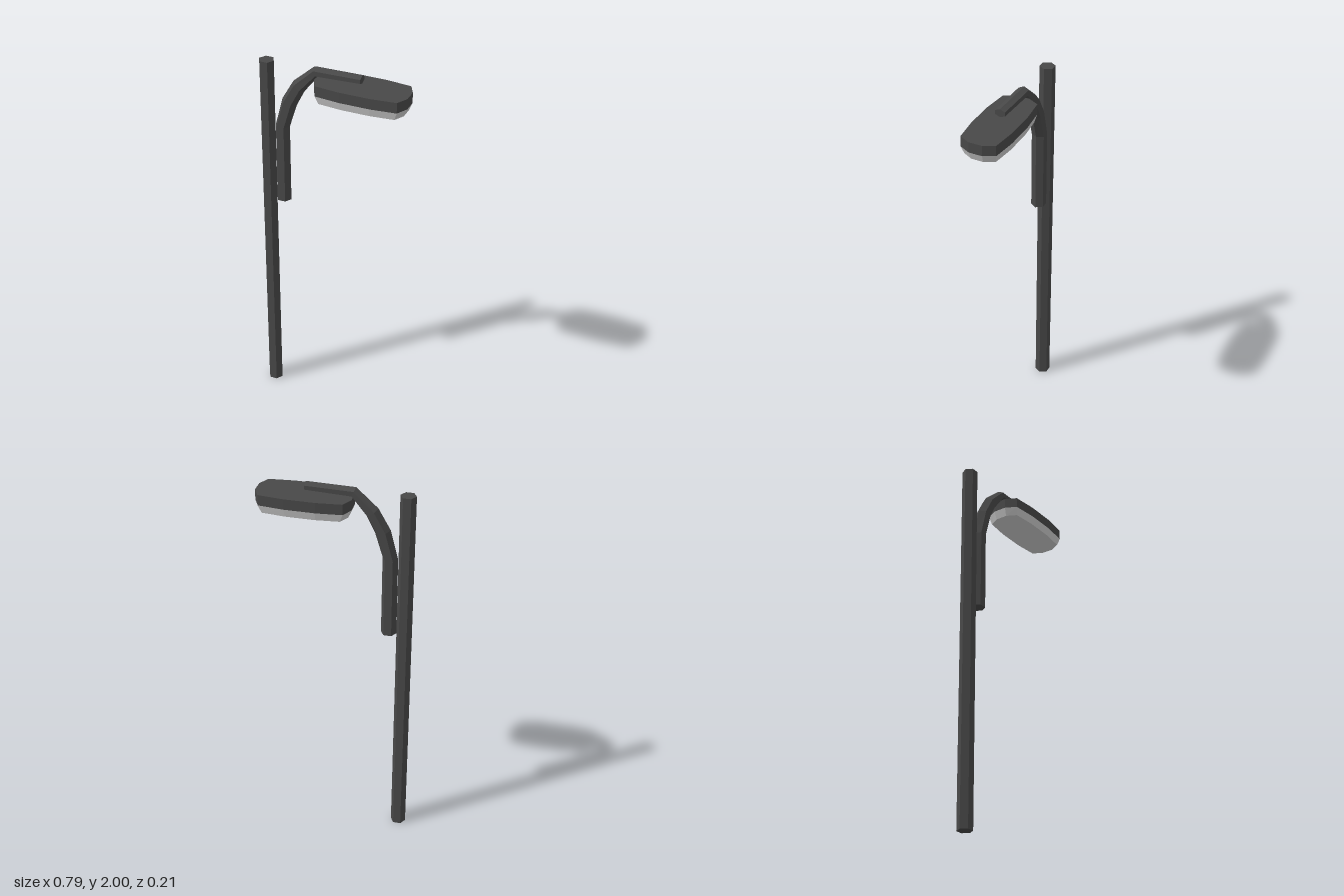
import * as THREE from 'three';

const dark = new THREE.MeshStandardMaterial({ color: 0x484848, flatShading: true });
const pale = new THREE.MeshStandardMaterial({ color: 0xcccccc, flatShading: true });

// Closed, faceted skin over rings of points; rings turn counter-clockwise around the sweep direction
function loft(rings) {
  const n = rings[0].length;
  const last = rings.length - 1;
  const pos = [];
  const tri = (...pts) => pts.forEach((p) => pos.push(p.x, p.y, p.z));
  for (let r = 0; r < last; r++) {
    const a = rings[r];
    const b = rings[r + 1];
    for (let i = 0; i < n; i++) {
      const j = (i + 1) % n;
      tri(a[i], a[j], b[j]);
      tri(a[i], b[j], b[i]);
    }
  }
  for (let i = 1; i < n - 1; i++) {
    tri(rings[0][0], rings[0][i + 1], rings[0][i]);
    tri(rings[last][0], rings[last][i], rings[last][i + 1]);
  }
  const geo = new THREE.BufferGeometry();
  geo.setAttribute('position', new THREE.Float32BufferAttribute(pos, 3));
  geo.computeVertexNormals();
  return geo;
}

function addPart(group, name, geometry, material) {
  const mesh = new THREE.Mesh(geometry, material);
  mesh.name = name;
  group.add(mesh);
  return mesh;
}

export function createModel() {
  const group = new THREE.Group();
  group.name = 'streetLamp';

  // Hexagonal pole with corners pointing along x
  const poleGeo = new THREE.CylinderGeometry(0.04, 0.04, 1.985, 6);
  poleGeo.rotateY(Math.PI / 2);
  addPart(group, 'pole', poleGeo, dark).position.set(-0.357, 1.985 / 2, 0);

  // Bent hexagonal arm: outer x, y, inner x, y, radius across z
  const stations = [
    [-0.317, 1.21, -0.237, 1.21, 0.039],
    [-0.315, 1.635, -0.237, 1.64, 0.039],
    [-0.275, 1.79, -0.197, 1.768, 0.039],
    [-0.212, 1.9, -0.153, 1.855, 0.039],
    [-0.1, 1.998, -0.08, 1.948, 0.032],
    [0.15, 2.0, 0.15, 1.958, 0.031],
  ];
  const armRings = stations.map(([ox, oy, ix, iy, rz]) =>
    Array.from({ length: 6 }, (_, i) => {
      const a = (i * Math.PI) / 3;
      const t = (1 + Math.cos(a)) / 2;
      return new THREE.Vector3(ox + (ix - ox) * t, oy + (iy - oy) * t, -Math.sin(a) * rz);
    }));
  addPart(group, 'arm', loft(armRings), dark);

  // Lamp head outline: one quarter mirrored to twelve corners
  const headX = 0.154;
  const quarter = [[0.241, 0.035], [0.211, 0.093], [0.08, 0.107]];
  const half = [...quarter.map(([x, z]) => [x, -z]), ...quarter.map(([x, z]) => [-x, -z]).reverse()];
  const outline = [...half, ...half.map(([x, z]) => [-x, -z])];
  const headRing = (y, sx = 1, sz = 1) =>
    outline.map(([x, z]) => new THREE.Vector3(headX + x * sx, y, z * sz));

  addPart(group, 'lampHousing', loft([headRing(1.89), headRing(1.945)]), dark);
  addPart(group, 'lampLens', loft([headRing(1.848, 0.93, 0.9), headRing(1.89)]), pale);

  return group;
}
